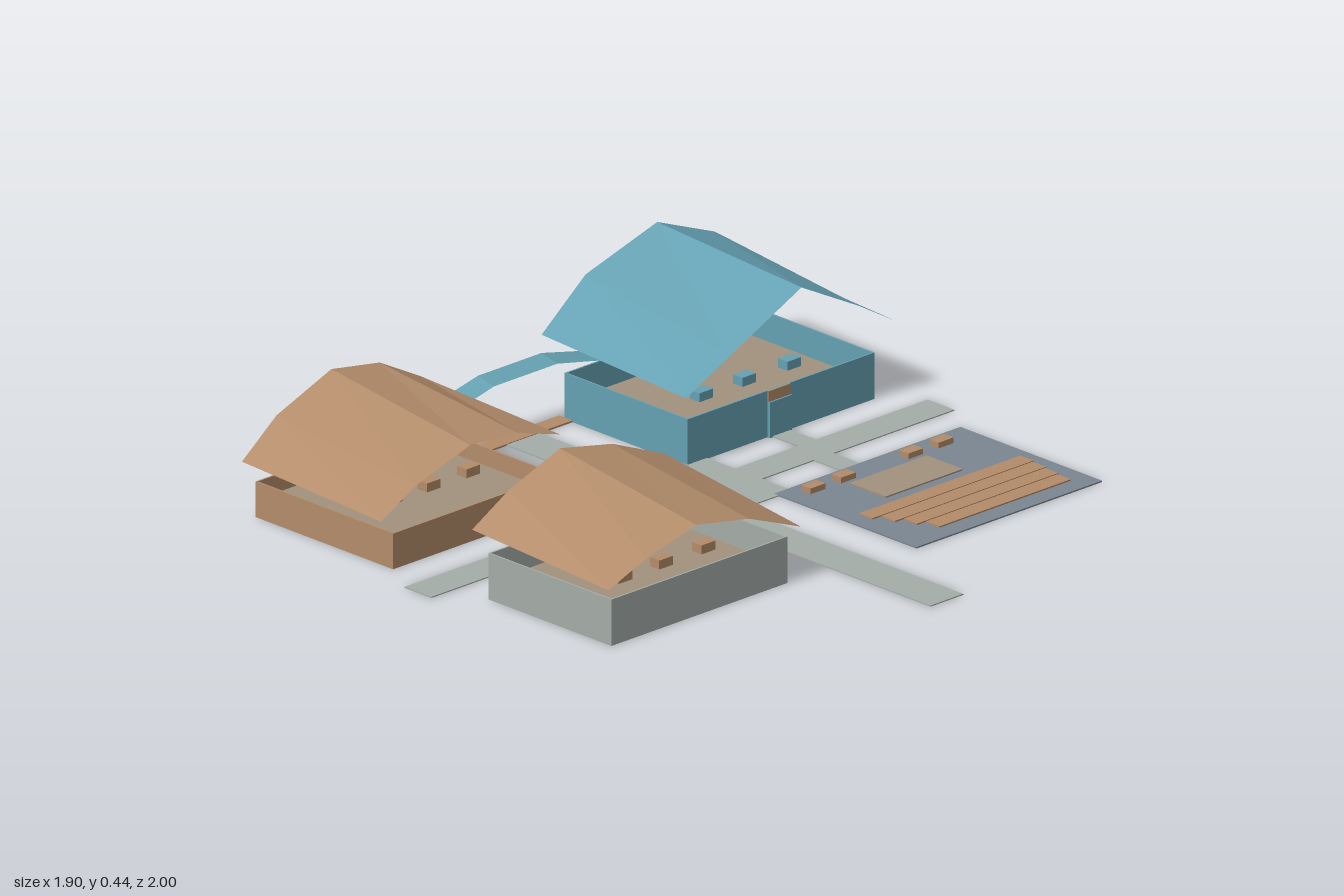
import * as THREE from 'three';

const mat = (name, color, double) => {
  const m = new THREE.MeshStandardMaterial({ color });
  m.name = name;
  if (double) m.side = THREE.DoubleSide;
  return m;
};
const tan = mat('timber tan', 0xb48d6b, true);
const blue = mat('teal blue', 0x66a2b4, true);
const grey = mat('path grey', 0xa6aeaa);
const slate = mat('slate paving', 0x7b8792);
const sand = mat('floor sand', 0xa3937e);

// Box given by its limits on each axis
function block(parent, name, material, x0, x1, y0, y1, z0, z1) {
  const mesh = new THREE.Mesh(new THREE.BoxGeometry(x1 - x0, y1 - y0, z1 - z0), material);
  mesh.position.set((x0 + x1) / 2, (y0 + y1) / 2, (z0 + z1) / 2);
  mesh.name = name;
  parent.add(mesh);
  return mesh;
}

// Folded sheet between a front and a back profile; each row is [x, yFront, yBack]
function sheet(parent, name, material, rows, zFront, zBack) {
  const pos = [];
  for (let i = 0; i < rows.length - 1; i++) {
    const [xa, fa, ba] = rows[i], [xb, fb, bb] = rows[i + 1];
    pos.push(xa, fa, zFront, xb, fb, zFront, xb, bb, zBack);
    pos.push(xa, fa, zFront, xb, bb, zBack, xa, ba, zBack);
  }
  const geo = new THREE.BufferGeometry();
  geo.setAttribute('position', new THREE.Float32BufferAttribute(pos, 3));
  geo.computeVertexNormals();
  const mesh = new THREE.Mesh(geo, material);
  mesh.name = name;
  parent.add(mesh);
}

// Open-topped pavilion: floor, four thin walls and a row of seats
function pavilion(parent, name, wall, seat, x0, x1, z0, z1, height) {
  const g = new THREE.Group();
  g.name = name;
  const t = 0.005, floorTop = 0.05;
  block(g, 'floor', sand, x0 + t, x1 - t, 0, floorTop, z0 + t, z1 - t);
  block(g, 'frontWall', wall, x0, x1, 0, height, z1 - t, z1);
  block(g, 'backWall', wall, x0, x1, 0, height, z0, z0 + t);
  block(g, 'rightWall', wall, x0, x0 + t, 0, height, z0 + t, z1 - t);
  block(g, 'leftWall', wall, x1 - t, x1, 0, height, z0 + t, z1 - t);
  const zc = (z0 + z1) / 2;
  for (const f of [0.4, 0.63, 0.87]) {
    const x = x0 + (x1 - x0) * f;
    block(g, 'seat', seat, x - 0.025, x + 0.025, floorTop, floorTop + 0.025, zc - 0.015, zc + 0.02);
  }
  parent.add(g);
  return g;
}

export function createModel() {
  const model = new THREE.Group();
  model.name = 'pavilionCourt';

  // Paths: [x0, x1, z0, z1]
  const paths = new THREE.Group();
  paths.name = 'paths';
  model.add(paths);
  for (const [x0, x1, z0, z1] of [
    [-0.06, 0.06, -1, 1],
    [-0.95, -0.25, -0.05, 0.05],
    [0.25, 0.95, -0.05, 0.05],
    [-0.25, -0.06, -0.17, 0.165],
    [0.06, 0.25, -0.17, 0.165],
    [-0.55, -0.48, 0.05, 0.16],
    [-0.51, -0.45, -0.17, -0.05],
    [-0.45, -0.25, -0.17, -0.14],
    [0.48, 0.545, -0.155, -0.05],
    [0.44, 0.51, 0.05, 0.15],
  ]) block(paths, 'path', grey, x0, x1, 0, 0.003, z0, z1);

  // Front pavilion with grey walls
  const front = pavilion(model, 'frontPavilion', grey, tan, -0.85, -0.21, 0.16, 0.62, 0.13);
  block(front, 'door', tan, -0.555, -0.475, 0, 0.1, 0.152, 0.16);
  sheet(front, 'roof', tan, [
    [-0.88, 0.17, 0.195], [-0.745, 0.22, 0.27], [-0.56, 0.265, 0.335],
    [-0.37, 0.23, 0.295], [-0.18, 0.155, 0.215],
  ], 0.64, 0.13);

  // Rear pavilion with timber walls
  const rear = pavilion(model, 'rearPavilion', tan, tan, -0.88, -0.28, -0.68, -0.165, 0.1);
  sheet(rear, 'roof', tan, [
    [-0.905, 0.135, 0.155], [-0.78, 0.2, 0.25], [-0.58, 0.26, 0.325],
    [-0.405, 0.245, 0.295], [-0.255, 0.2, 0.215],
  ], -0.185, -0.705);

  // Blue pavilion with a straight front gable and a folded back gable
  const hall = pavilion(model, 'bluePavilion', blue, blue, 0.18, 0.86, -0.615, -0.155, 0.13);
  block(hall, 'door', blue, 0.47, 0.55, 0, 0.1, -0.155, -0.145);
  block(hall, 'doorLintel', tan, 0.47, 0.55, 0.1, 0.13, -0.155, -0.15);
  block(hall, 'wallRail', tan, 0.2, 0.84, 0.095, 0.107, -0.62, -0.615);
  sheet(hall, 'roof', blue, [
    [0.14, 0.21, 0.235], [0.3, 0.285, 0.36], [0.56, 0.405, 0.435],
    [0.77, 0.295, 0.35], [0.905, 0.215, 0.24],
  ], -0.12, -0.66);

  // Covered walk joining the two rear buildings
  const walk = new THREE.Group();
  walk.name = 'coveredWalk';
  model.add(walk);
  block(walk, 'walkFloor', tan, -0.28, 0.18, 0, 0.005, -0.635, -0.585);
  sheet(walk, 'canopy', blue, [
    [-0.295, 0.14, 0.155], [-0.11, 0.182, 0.195], [0.12, 0.182, 0.195], [0.29, 0.145, 0.155],
  ], -0.58, -0.64);

  // Open-air theatre: paving, stage, small seats and rising benches
  const theatre = new THREE.Group();
  theatre.name = 'theatre';
  model.add(theatre);
  block(theatre, 'paving', slate, 0.2, 0.875, 0, 0.004, 0.15, 0.68);
  block(theatre, 'stage', sand, 0.385, 0.665, 0.004, 0.008, 0.24, 0.375);
  for (const x of [0.29, 0.4, 0.645, 0.755])
    block(theatre, 'seat', tan, x - 0.027, x + 0.027, 0.004, 0.02, 0.185, 0.22);
  for (let i = 0; i < 4; i++) {
    const z = 0.42 + i * 0.065, y = 0.009 + i * 0.006, inset = i * 0.018;
    block(theatre, 'bench', tan, 0.245 + inset, 0.83 - inset, y, y + 0.004, z, z + 0.05);
  }
  return model;
}
